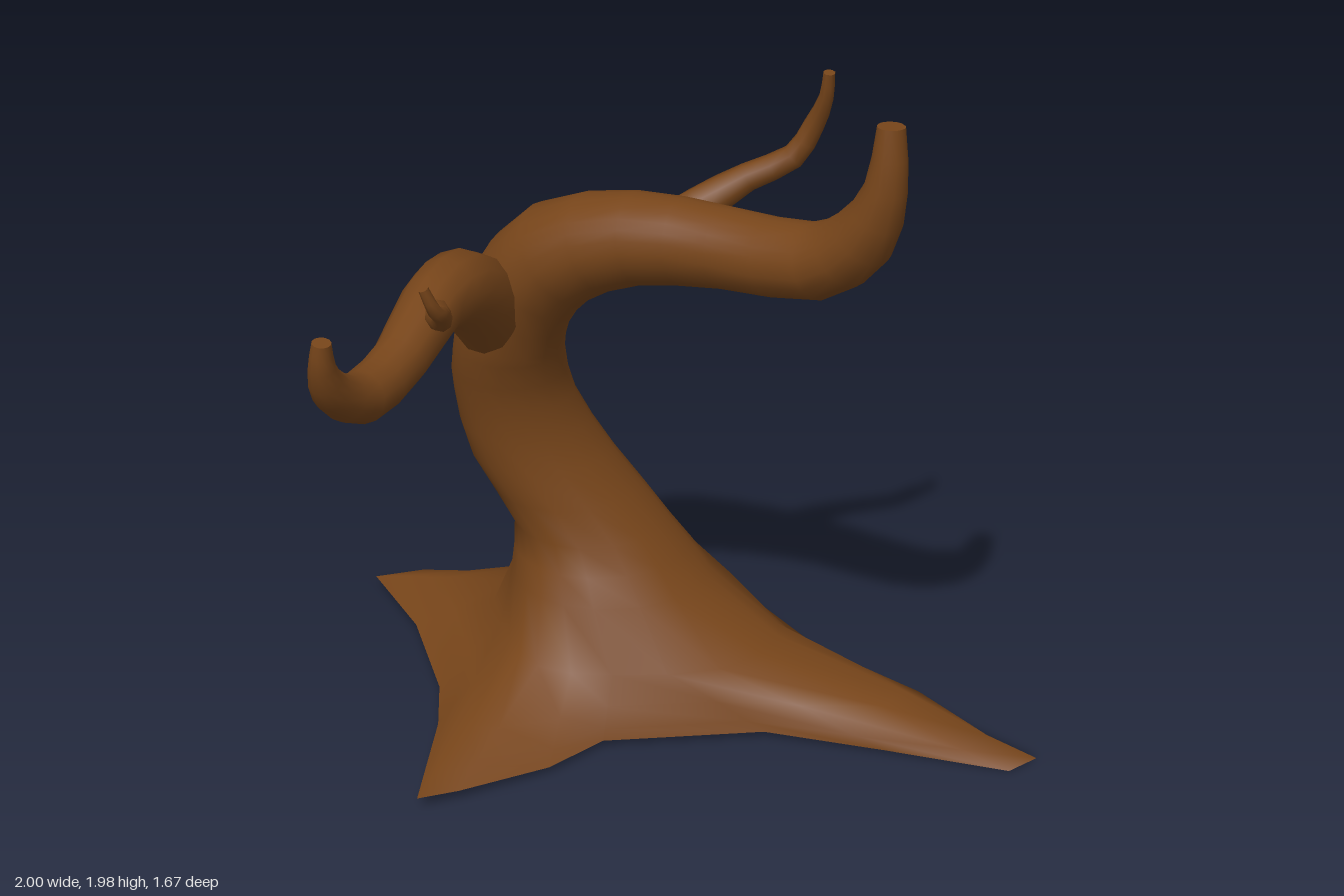
import * as THREE from 'three';

const UP = new THREE.Vector3(0, 1, 0);
const bark = new THREE.MeshStandardMaterial({ color: 0x77451a, side: THREE.DoubleSide });

// Root flare: [foot x, foot y, foot z, shoulder x, shoulder z, rise near the foot], clockwise from above
const FLARE = [
  [1.0, 0, 0.65, 0.42, 0.1], [0.9, 0, 0.69, 0.34, 0.18], [0.6, 0.01, 0.51, 0.2, 0.23],
  [0.3, 0.02, 0.34, 0.05, 0.22], [-0.15, 0.02, 0.26, -0.1, 0.18], [-0.33, 0.02, 0.35, -0.21, 0.14],
  [-0.6, 0.03, 0.41, -0.29, 0.07], [-0.72, 0.04, 0.43, -0.32, -0.01], [-0.58, 0.03, 0.06, -0.33, -0.1],
  [-0.53, 0.02, -0.15, -0.33, -0.2], [-0.52, 0.02, -0.52, -0.32, -0.33], [-0.58, 0.03, -0.83, -0.25, -0.44],
  [-0.51, 0.03, -0.82, -0.14, -0.49, 0.04], [-0.3, 0.02, -0.7, -0.03, -0.5, 0.06],
  [0.1, 0.02, -0.66, 0.12, -0.49, 0.06], [0.33, 0.02, -0.51, 0.29, -0.43, 0.06],
  [0.48, 0.02, -0.33, 0.4, -0.3, 0.06], [0.6, 0.02, 0.11, 0.44, -0.03, 0.07],
  [0.84, 0.01, 0.4, 0.44, 0.03, 0.06],
];

// Adds a spline midpoint between each pair of [x, y, z, rx, rz] stations
function refine(path) {
  const curve = new THREE.CatmullRomCurve3(path.map(([x, y, z]) => new THREE.Vector3(x, y, z)));
  const steps = (path.length - 1) * 2;
  return Array.from({ length: steps + 1 }, (_, i) => {
    const [, , , ax, az = ax] = path[Math.floor(i / 2)];
    const [, , , bx, bz = bx] = path[Math.ceil(i / 2)];
    return [...curve.getPoint(i / steps).toArray(), (ax + bx) / 2, (az + bz) / 2];
  });
}

// Rings across a refined path; the lowest `level` rings stay horizontal
function ringsAlong(stations, angles, level = 0) {
  const path = refine(stations);
  const at = (i) => new THREE.Vector3(...path[Math.min(Math.max(i, 0), path.length - 1)].slice(0, 3));
  return path.map(([, , , rx, rz], i) => {
    const tangent = at(i + 1).sub(at(i - 1)).normalize();
    const turn = new THREE.Quaternion();
    if (i >= level) turn.setFromUnitVectors(UP, tangent);
    return angles.map((a) =>
      new THREE.Vector3(rx * Math.cos(a), 0, rz * Math.sin(a)).applyQuaternion(turn).add(at(i)));
  });
}

// Skin over successive rings, closed at the far end
function loft(name, rings) {
  const n = rings[0].length;
  const points = rings.flat();
  const index = [];
  for (let r = 0; r < rings.length - 1; r++) {
    for (let i = 0; i < n; i++) {
      const a = r * n + i, b = r * n + ((i + 1) % n);
      index.push(a, a + n, b + n, a, b + n, b);
    }
  }
  // separate cap vertices keep the cut end crisp
  const last = rings[rings.length - 1];
  const start = points.length;
  const centre = new THREE.Vector3();
  last.forEach((p) => centre.addScaledVector(p, 1 / n));
  points.push(...last, centre);
  for (let i = 0; i < n; i++) index.push(start + i, start + n, start + ((i + 1) % n));

  const geometry = new THREE.BufferGeometry().setFromPoints(points);
  geometry.setIndex(index);
  geometry.computeVertexNormals();
  const mesh = new THREE.Mesh(geometry, bark);
  mesh.name = name;
  return mesh;
}

function branch(name, path, sides) {
  const angles = Array.from({ length: sides }, (_, i) => (i / sides) * Math.PI * 2);
  return loft(name, ringsAlong(path, angles));
}

export function createModel() {
  const tree = new THREE.Group();
  tree.name = 'tree';

  // Spreading roots, open underneath and steeper at the back, rising into the trunk
  const feet = FLARE.map(([x, y, z]) => new THREE.Vector3(x, y, z));
  const shoulder = FLARE.map(([, , , x, z]) => new THREE.Vector3(x, 0.18, z));
  const flank = FLARE.map(([, y, , , , rise = 0.03], i) =>
    feet[i].clone().lerp(shoulder[i], 0.18).setY(y + rise));
  const middle = feet.map((p, i) => p.clone().lerp(shoulder[i], 0.5).setY(0.105));
  const angles = shoulder.map((p) => Math.atan2(p.z + 0.13, p.x - 0.04));

  // Leaning trunk that bends forward into the main branch
  const trunkPath = [
    [-0.01, 0.35, -0.155, 0.29, 0.275], [-0.055, 0.5, -0.19, 0.225, 0.215],
    [-0.19, 0.72, -0.235, 0.205, 0.19], [-0.27, 0.92, -0.225, 0.17, 0.175],
    [-0.3, 1.08, -0.16, 0.155, 0.16], [-0.285, 1.25, -0.09, 0.15],
    [-0.2, 1.42, 0.03, 0.148], [-0.03, 1.51, 0.2, 0.125], [0.15, 1.53, 0.37, 0.108],
    [0.32, 1.565, 0.6, 0.1], [0.395, 1.67, 0.72, 0.085], [0.425, 1.82, 0.785, 0.054],
    [0.43, 1.98, 0.79, 0.035],
  ];
  tree.add(loft('trunk', [feet, flank, middle, shoulder, ...ringsAlong(trunkPath, angles, 9)]));

  // Side branch curling up at its tip
  tree.add(branch('sideBranch', [
    [-0.31, 1.06, -0.19, 0.09], [-0.39, 1.26, -0.04, 0.115], [-0.5, 1.39, 0.12, 0.105],
    [-0.6, 1.41, 0.26, 0.085], [-0.72, 1.35, 0.43, 0.072], [-0.85, 1.33, 0.58, 0.068],
    [-0.94, 1.41, 0.69, 0.052], [-0.97, 1.5, 0.745, 0.034], [-0.97, 1.57, 0.76, 0.024],
  ], 12));

  // Twigs
  tree.add(branch('mainTwig', [
    [0.02, 1.53, 0.24, 0.07], [0.13, 1.59, 0.22, 0.055], [0.25, 1.67, 0.25, 0.038],
    [0.36, 1.73, 0.29, 0.033], [0.405, 1.82, 0.315, 0.028], [0.42, 1.91, 0.36, 0.02],
    [0.42, 1.98, 0.375, 0.016],
  ], 8));
  tree.add(branch('sideTwig', [
    [-0.6, 1.4, 0.26, 0.045], [-0.61, 1.43, 0.36, 0.038], [-0.62, 1.46, 0.47, 0.028],
    [-0.645, 1.53, 0.59, 0.022], [-0.67, 1.56, 0.64, 0.018], [-0.7, 1.63, 0.65, 0.013],
  ], 8));

  return tree;
}
